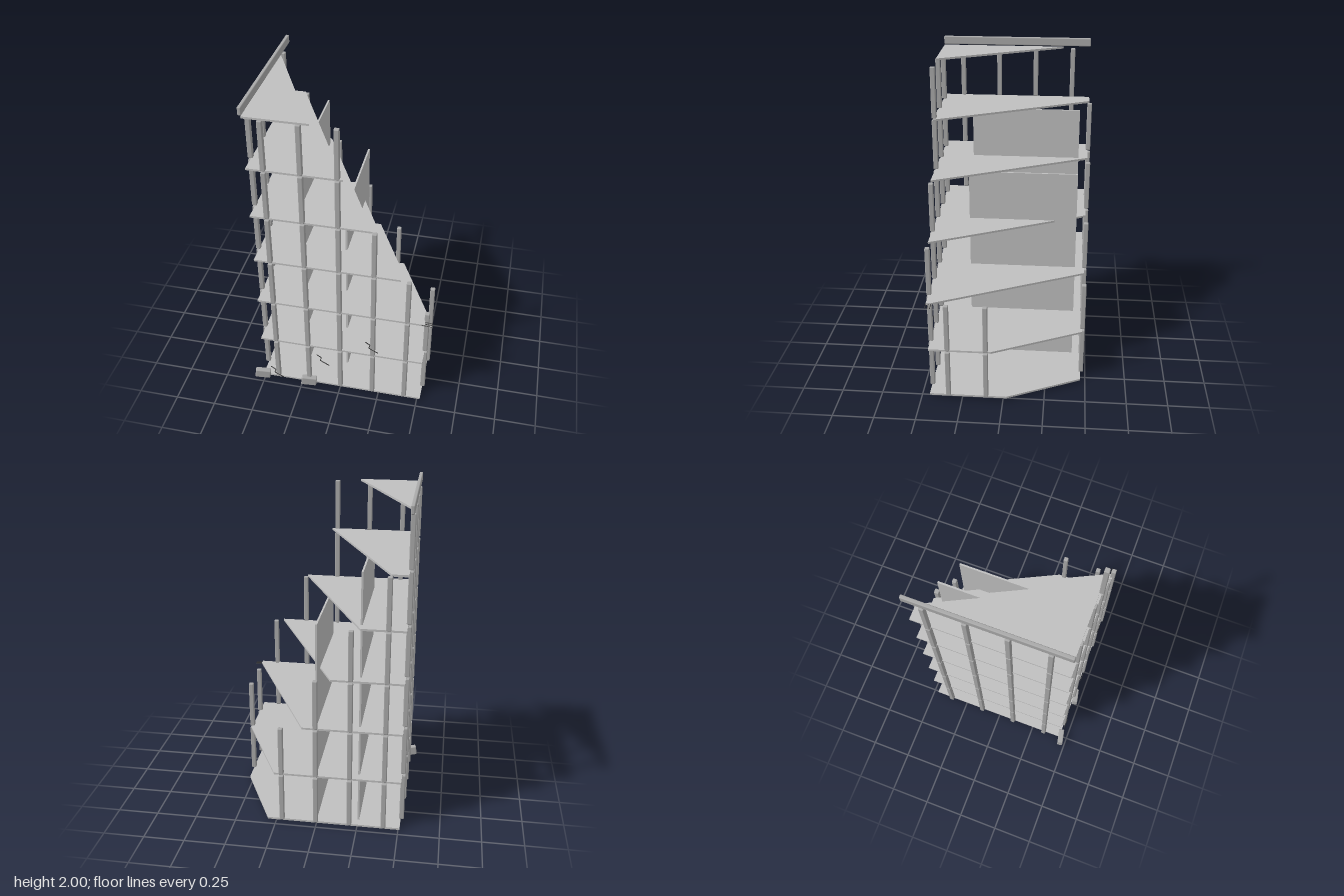
import * as THREE from 'three';
import { RoundedBoxGeometry } from 'three/addons/geometries/RoundedBoxGeometry.js';

const LEFT = -0.51, RIGHT = 0.52, BACK = -0.47, FRONT = 0.45;
const SLOPE = 0.491, THICK = 0.012;
const STOREY = 0.3195, BASE = 0.029;
// where each floor's broken edge meets the back line, bottom to top
const CUTS = [0.3, 0.255, 0.082, -0.085, -0.253, -0.417, -0.594];

const slabMat = new THREE.MeshStandardMaterial({ color: 0xbfbfbf });
slabMat.name = 'slab concrete';
const frameMat = new THREE.MeshStandardMaterial({ color: 0xa9a9a9 });
frameMat.name = 'frame concrete';
const darkMat = new THREE.MeshStandardMaterial({ color: 0x3c3c3c });
darkMat.name = 'dark steel';

const cutX = (c, z) => c + SLOPE * (z - BACK);
const cutZ = (c, x) => BACK + (x - c) / SLOPE;
const topOf = (i) => BASE + i * STOREY;

export function createModel() {
  const model = new THREE.Group();
  model.name = 'ruinedTower';

  const add = (name, geometry, material, x = 0, y = 0, z = 0) => {
    const mesh = new THREE.Mesh(geometry, material);
    mesh.name = name;
    mesh.position.set(x, y, z);
    model.add(mesh);
    return mesh;
  };

  // floors, each sheared off along a diagonal that steps back going up
  CUTS.forEach((c, i) => {
    const pts = [[LEFT, FRONT]];
    if (cutX(c, FRONT) <= RIGHT) pts.push([cutX(c, FRONT), FRONT]);
    else pts.push([RIGHT, FRONT], [RIGHT, cutZ(c, RIGHT)]);
    if (c >= LEFT) pts.push([c, BACK], [LEFT, BACK]);
    else pts.push([LEFT, cutZ(c, LEFT)]);
    const shape = new THREE.Shape(pts.map(([x, z]) => new THREE.Vector2(x, -z)));
    const geo = new THREE.ExtrudeGeometry(shape, { depth: THICK, bevelEnabled: false });
    geo.rotateX(-Math.PI / 2);
    add('floor' + i, geo, slabMat, 0, topOf(i) - THICK, 0);
  });

  // perimeter columns, kept wherever the floor beneath still reaches them
  const spots = [];
  for (const x of [-0.41, -0.203, 0.002, 0.21, 0.416]) {
    spots.push([x, 0.447]);
    if (x < 0.3) spots.push([x, -0.473]);
  }
  for (const z of [-0.358, -0.127, 0.104, 0.334]) {
    spots.push([-0.515, z]);
    if (z > 0) spots.push([0.521, z]);
  }
  const colHeight = STOREY - THICK;
  const colGeo = new RoundedBoxGeometry(0.029, colHeight, 0.029, 2, 0.005);
  for (let i = 0; i < 6; i++) {
    for (const [x, z] of spots) {
      if (x > cutX(CUTS[i], z) - 0.004) continue;
      add('column', colGeo, frameMat, x, topOf(i) + colHeight / 2, z);
    }
  }

  // two interior walls
  for (const [x, storeys] of [[-0.254, 5], [0.003, 4]]) {
    const h = storeys * STOREY - THICK;
    add('interiorWall', new THREE.BoxGeometry(0.011, h, 0.66), slabMat,
      x, BASE + h / 2, -0.083);
  }

  // parapet beam on the roof
  add('roofBeam', new RoundedBoxGeometry(0.021, 0.05, 0.92, 2, 0.006), frameMat,
    -0.515, 1.975, -0.007);

  // fallen blocks
  const blockGeo = new RoundedBoxGeometry(0.098, 0.062, 0.036, 2, 0.007);
  for (const x of [-0.513, -0.203]) {
    const block = add('fallenBlock', blockGeo, frameMat, x, 0.041, 0.461);
    block.rotation.set(0, 0.2, -0.13);
  }

  // zigzag cracks
  const zigzag = [[-0.042, 0.042], [-0.012, 0.021], [-0.02, -0.005], [0.038, -0.038]];
  for (const [cx, cy] of [[-0.412, 0.07], [-0.103, 0.245], [0.208, 0.422]]) {
    for (let k = 0; k < 3; k++) {
      const [x0, y0] = zigzag[k], [x1, y1] = zigzag[k + 1];
      const len = Math.hypot(x1 - x0, y1 - y0);
      const seg = add('crack', new THREE.BoxGeometry(len, 0.004, 0.004), darkMat,
        cx + (x0 + x1) / 2, cy + (y0 + y1) / 2, 0.462);
      seg.rotation.z = Math.atan2(y1 - y0, x1 - x0);
    }
  }

  // bent reinforcing bars at the broken floor corner
  for (const z of [0.42, 0.435, 0.45]) {
    const bar = add('reinforcingBar', new THREE.CylinderGeometry(0.002, 0.002, 0.063, 6),
      darkMat, 0.533, 0.66, z);
    bar.rotation.z = Math.PI / 2 - 0.08;
  }

  return model;
}
